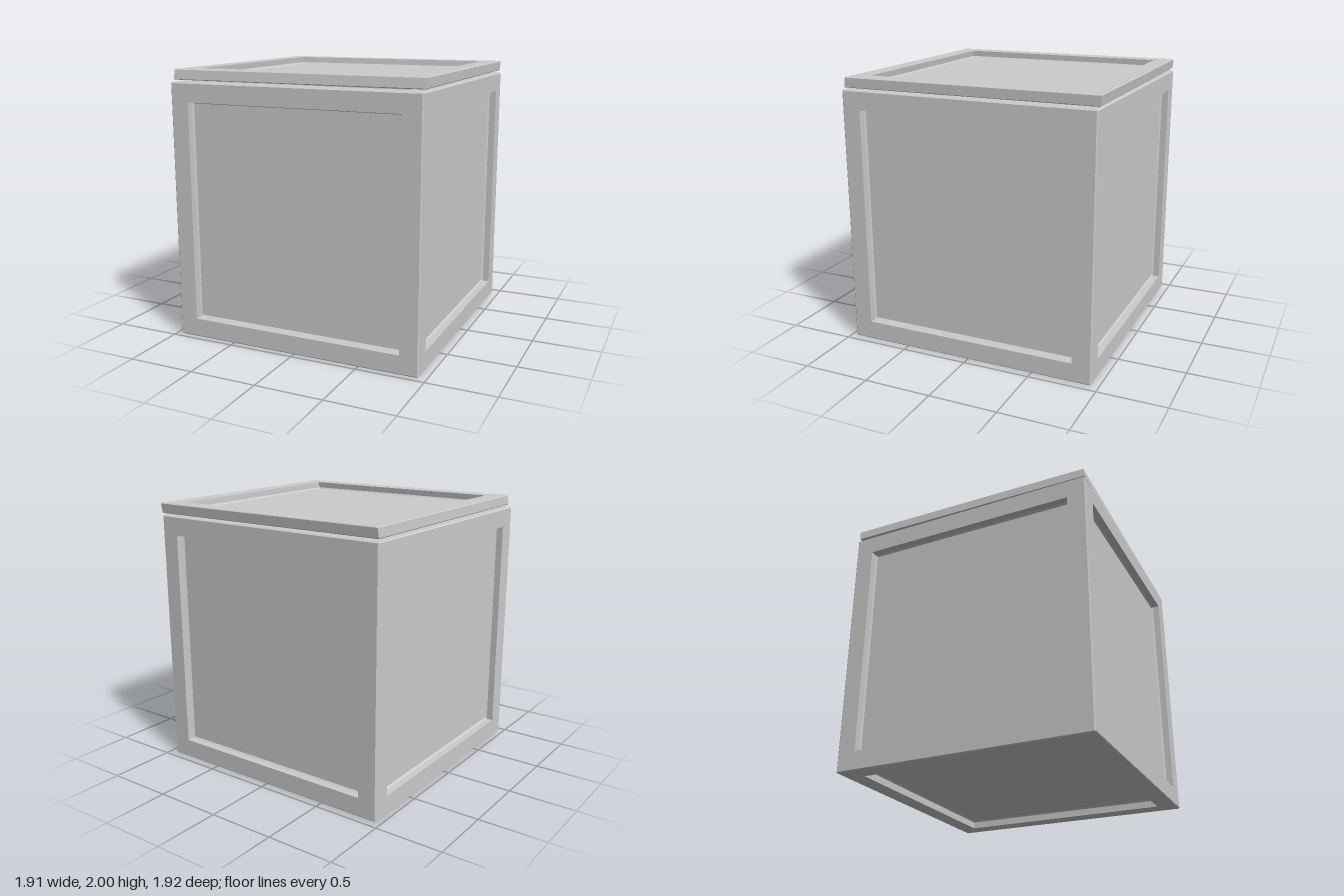
import * as THREE from 'three';

const material = new THREE.MeshStandardMaterial({ color: 0xcccccc, flatShading: true });

// Square cross-sections stacked along y; each entry is [half side, height].
function squareProfile(loops) {
  const points = loops.map(([half, y]) => new THREE.Vector2(half * Math.SQRT2, y));
  return new THREE.LatheGeometry(points, 4, Math.PI / 4);
}

function addMesh(parent, name, geometry) {
  const mesh = new THREE.Mesh(geometry, material);
  mesh.name = name;
  parent.add(mesh);
  return mesh;
}

// Open box: five framed faces with sunken panels and a hollow top
function createBody() {
  const body = new THREE.Group();
  body.name = 'boxBody';
  const h = 0.9525;
  const bevel = 0.008;
  const rim = [[h - bevel / 2, h - bevel / 2], [h - bevel, h], [0.812, h]];
  const panel = squareProfile([...rim, [0.812, h - 0.05], [0.8, h - 0.062], [0, h - 0.062]]);
  const q = Math.PI / 2;
  const sides = [
    ['frontSide', q, 0], ['backSide', -q, 0],
    ['leftSide', 0, -q], ['rightSide', 0, q], ['bottomSide', Math.PI, 0],
  ];
  for (const [name, rx, rz] of sides) addMesh(body, name, panel).rotation.set(rx, 0, rz);

  // Top rim running down into the inside walls and floor
  addMesh(body, 'rimAndInterior', squareProfile([...rim, [0.812, -0.812], [0, -0.812]]));
  body.position.set(-0.008, h + 0.003, 0.008);
  return body;
}

// Framed lid, resting slightly askew above the body
function createLid() {
  const h = 0.943;
  const b = 0.005;
  const t = 0.076;
  const geometry = squareProfile([
    [0, 0], [h - b, 0], [h, b], [h, t - b], [h - b, t],
    [0.81, t], [0.81, t - 0.045], [0.798, t - 0.057], [0, t - 0.057],
  ]);
  // Small lean of the lid's edges
  geometry.applyMatrix4(new THREE.Matrix4().makeShear(0, 0, 0.06, -0.13, 0, 0));
  const lid = new THREE.Group();
  lid.name = 'lid';
  addMesh(lid, 'lidPanel', geometry);
  lid.rotation.y = 0.0095;
  lid.position.set(-0.003, 1.924, -0.001);
  return lid;
}

export function createModel() {
  const model = new THREE.Group();
  model.name = 'lidded box';
  model.add(createBody(), createLid());
  return model;
}
